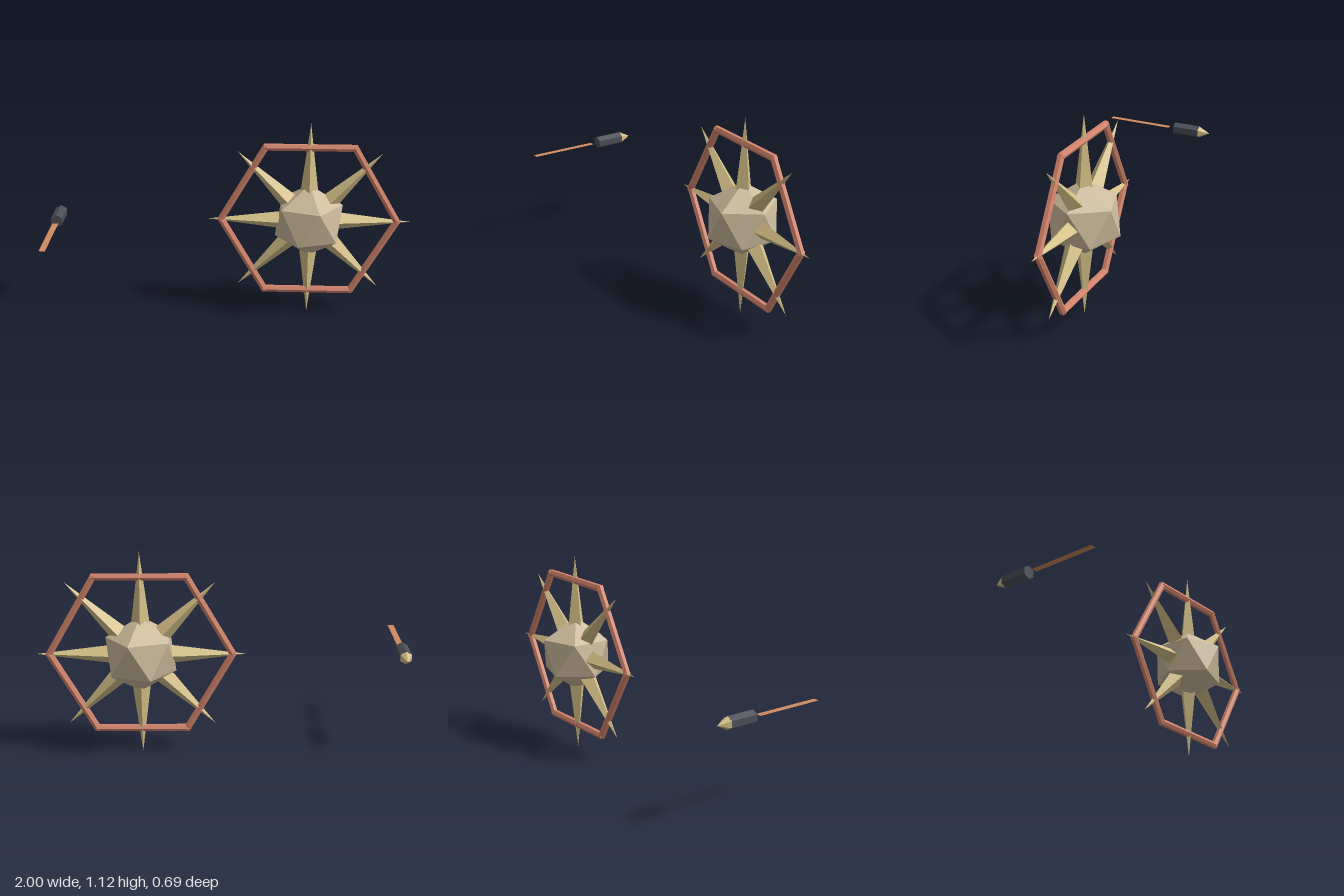
import * as THREE from 'three';

const mat = (name, color, side = THREE.FrontSide) => {
  const m = new THREE.MeshStandardMaterial({ color, flatShading: true, side });
  m.name = name;
  return m;
};

function add(parent, name, geometry, material) {
  const mesh = new THREE.Mesh(geometry, material);
  mesh.name = name;
  parent.add(mesh);
  return mesh;
}

export function createModel() {
  const stone = mat('sandstone', 0xcdbb9c);
  const brass = mat('pale brass', 0xd4bf86);
  const coral = mat('coral', 0xd4856c);
  const steel = mat('dark steel', 0x4c4f58);
  const copper = mat('copper', 0xd08a5e, THREE.DoubleSide);

  const model = new THREE.Group();
  model.name = 'spikedMineAndDart';

  const mine = new THREE.Group();
  mine.name = 'spikedMine';
  mine.position.set(0.4375, 0.5625, -0.165);
  model.add(mine);

  // Core, turned so that one corner points straight up
  const core = new THREE.IcosahedronGeometry(0.21, 0);
  core.rotateZ(-Math.atan(2 / (1 + Math.sqrt(5))));
  add(mine, 'core', core, stone);

  // Eight four-sided spikes, with bases resting at the core surface
  const tip = 0.5625, base = 0.165;
  const spike = new THREE.ConeGeometry(0.05, tip - base, 4);
  spike.translate(0, (tip + base) / 2, 0);
  for (let i = 0; i < 8; i++) {
    add(mine, 'spike', spike, brass).rotation.z = (i * Math.PI) / 4;
  }

  // Hexagonal ring made of six straight bars
  const bar = new THREE.CylinderGeometry(0.02, 0.02, 0.51, 6);
  bar.rotateZ(Math.PI / 2);
  bar.translate(0, 0.425, 0);
  for (let i = 0; i < 6; i++) {
    add(mine, 'ringBar', bar, coral).rotation.z = (i * Math.PI) / 3;
  }

  // Dart flying towards the back, with a flat trail behind it
  const dart = new THREE.Group();
  dart.name = 'dart';
  dart.position.set(-0.969, 0.5625, 0);
  model.add(dart);

  const body = new THREE.CylinderGeometry(0.036, 0.036, 0.16, 6);
  body.rotateY(Math.PI).rotateX(-Math.PI / 2);
  add(dart, 'dartBody', body, steel).position.z = -0.16;

  const nose = new THREE.ConeGeometry(0.035, 0.066, 6);
  nose.rotateX(-Math.PI / 2);
  add(dart, 'dartNose', nose, brass).position.z = -0.273;

  const trail = new THREE.PlaneGeometry(0.034, 0.39);
  trail.rotateX(-Math.PI / 2);
  add(dart, 'dartTrail', trail, copper).position.z = 0.15;

  return model;
}
